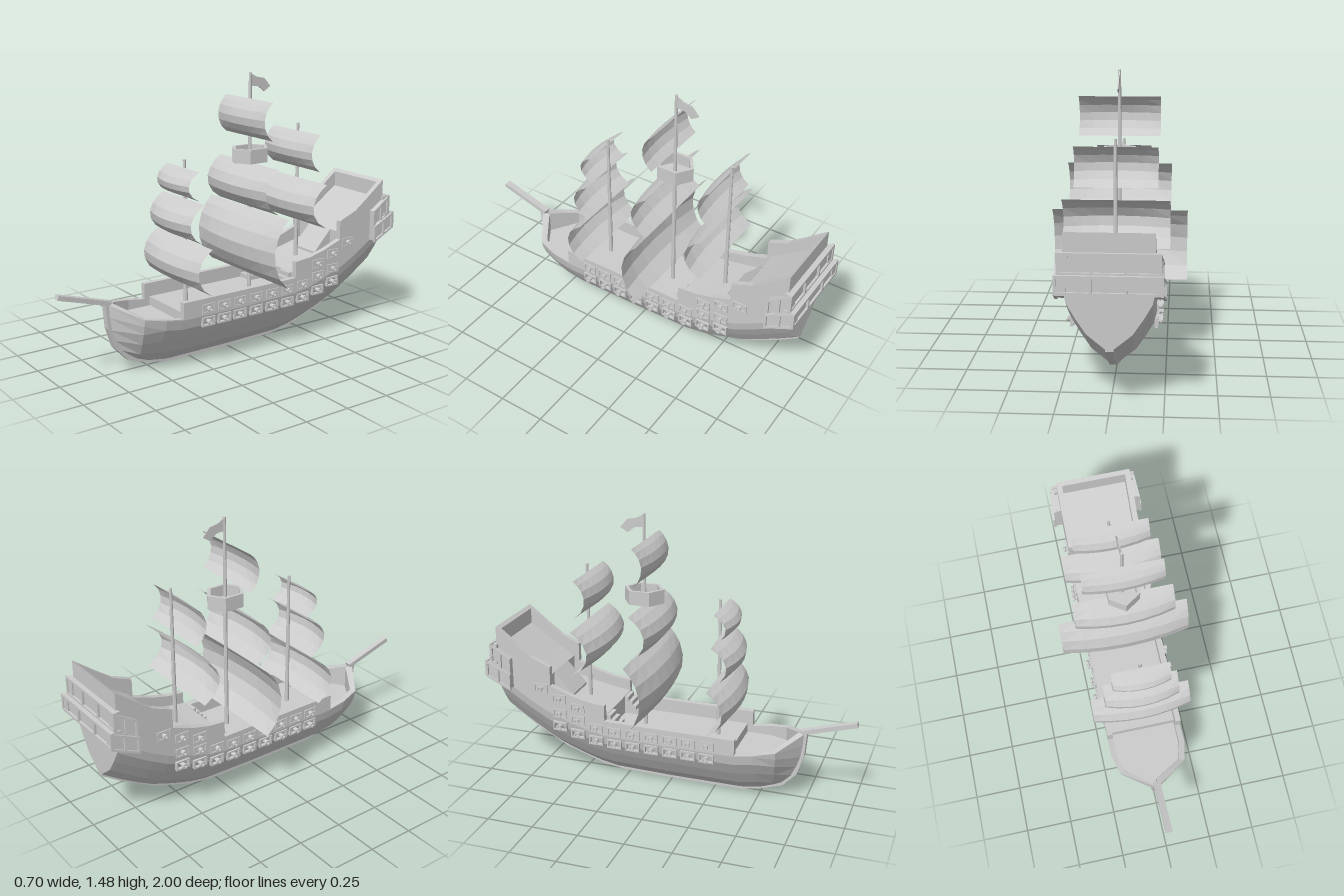
import * as THREE from 'three';

const mat = new THREE.MeshStandardMaterial({ color: 0xcccccc, flatShading: true, side: THREE.DoubleSide });

function add(parent, name, geo, x = 0, y = 0, z = 0) {
  const m = new THREE.Mesh(geo, mat);
  m.name = name;
  m.position.set(x, y, z);
  parent.add(m);
  return m;
}
const box = (w, h, d) => new THREE.BoxGeometry(w, h, d);

function fromTriangles(pos) {
  const g = new THREE.BufferGeometry();
  g.setAttribute('position', new THREE.Float32BufferAttribute(pos, 3));
  g.computeVertexNormals();
  return g;
}

// Shape drawn in (z, y), given a thickness across x and centred on x = 0
function sideExtrude(points, width) {
  const s = new THREE.Shape(points.map(([z, y]) => new THREE.Vector2(-z, y)));
  const g = new THREE.ExtrudeGeometry(s, { depth: width, bevelEnabled: false });
  return g.translate(0, 0, -width / 2).rotateY(Math.PI / 2);
}

// Rectangular frame with a row of openings, facing +z
function frame(w, h, depth, count, border) {
  const rect = (P, x, y, a, b) => new P([[x, y], [x + a, y], [x + a, y + b], [x, y + b]].map(p => new THREE.Vector2(...p)));
  const s = rect(THREE.Shape, -w / 2, -h / 2, w, h);
  const pane = (w - border * (count + 1)) / count;
  for (let i = 0; i < count; i++) {
    s.holes.push(rect(THREE.Path, -w / 2 + border + i * (pane + border), -h / 2 + border, pane, h - 2 * border));
  }
  return new THREE.ExtrudeGeometry(s, { depth, bevelEnabled: false });
}

// Hull, bulwarks and decks: one loft of closed rings; repeated z values make steps
function hullGeometry() {
  const side = [[0.02, 0], [0.105, 0.07], [0.155, 0.145], [0.195, 0.215], [0.207, 0.268]];
  const stations = [ // z, keel, rail, deck
    [-0.94, 0.295, 0.84, 0.84], [-0.92, 0.28, 0.825, 0.825], [-0.92, 0.28, 0.825, 0.74],
    [-0.83, 0.22, 0.755, 0.68], [-0.74, 0.165, 0.69, 0.62], [-0.66, 0.122, 0.658, 0.57],
    [-0.66, 0.122, 0.658, 0.47], [-0.63, 0.11, 0.645, 0.46], [-0.63, 0.11, 0.54, 0.46],
    [-0.52, 0.07, 0.5, 0.435], [-0.42, 0.04, 0.475, 0.415], [-0.32, 0.022, 0.465, 0.4],
    [-0.32, 0.022, 0.375, 0.3], [0, 0.015, 0.375, 0.3], [0.37, 0.015, 0.375, 0.3],
    [0.37, 0.015, 0.375, 0.25], [0.4, 0.016, 0.375, 0.25], [0.4, 0.016, 0.29, 0.25], [0.5, 0.032, 0.305, 0.25],
  ];
  const halves = stations.map(([z, k, rail, deck]) => [
    ...side.map(([x, dy]) => [x, k + dy, z]), [0.207, rail, z], [0.177, rail, z], [0.177, deck, z],
  ]);
  // Shoulder of the bow, then the stem
  halves.push([[0.016, 0.055, 0.57], [0.075, 0.1, 0.58], [0.12, 0.17, 0.595], [0.155, 0.235, 0.605],
    [0.172, 0.285, 0.61], [0.18, 0.322, 0.61], [0.15, 0.322, 0.595], [0.15, 0.25, 0.595]]);
  halves.push([[0.012, 0.075, 0.62], [0.012, 0.125, 0.67], [0.012, 0.18, 0.695], [0.012, 0.24, 0.715],
    [0.012, 0.31, 0.725], [0.012, 0.378, 0.73], [0.002, 0.375, 0.69], [0.002, 0.25, 0.69]]);
  const rings = halves.map(h => [...h, ...h.slice().reverse().map(([x, y, z]) => [-x, y, z])]);
  const pos = [], n = rings[0].length;
  for (let i = 0; i < rings.length - 1; i++) {
    for (let j = 0; j < n; j++) {
      const k = (j + 1) % n;
      const a = rings[i][j], b = rings[i][k], c = rings[i + 1][k], d = rings[i + 1][j];
      pos.push(...a, ...b, ...c, ...a, ...c, ...d);
    }
  }
  const r = rings[0]; // transom
  for (let j = 1; j < n - 1; j++) pos.push(...r[0], ...r[j + 1], ...r[j]);
  return fromTriangles(pos);
}

// Billowed sail: straight along its top and bottom edges, fullest at the centre
function sailGeometry(halfWidth, y0, y1, depth) {
  const profile = [[0, 0], [0.16, 0.62], [0.35, 0.94], [0.55, 1], [0.75, 0.78], [0.9, 0.4], [1, 0]];
  const cols = 6, pos = [];
  const point = (i, j) => {
    const u = -1 + 2 * i / cols, [v, b] = profile[j];
    return [u * halfWidth, y0 + (y1 - y0) * v, depth * b * (1 - 0.3 * u * u)];
  };
  for (let i = 0; i < cols; i++) {
    for (let j = 0; j < profile.length - 1; j++) {
      const a = point(i, j), b = point(i + 1, j), c = point(i + 1, j + 1), d = point(i, j + 1);
      pos.push(...a, ...b, ...c, ...a, ...c, ...d);
    }
  }
  return fromTriangles(pos);
}

export function createModel() {
  const ship = new THREE.Group();
  ship.name = 'sailingShip';
  add(ship, 'hull', hullGeometry());

  // Keel and stem
  const outer = [[-0.94, 0.283], [-0.83, 0.208], [-0.63, 0.098], [-0.42, 0.028], [-0.29, 0.006], [0, 0], [0.4, 0],
    [0.5, 0.022], [0.62, 0.06], [0.695, 0.14], [0.73, 0.25], [0.742, 0.392]];
  const inner = [[0.715, 0.392], [0.7, 0.26], [0.665, 0.16], [0.6, 0.09], [0.5, 0.05], [0.4, 0.03], [0, 0.03],
    [-0.29, 0.034], [-0.42, 0.055], [-0.63, 0.125], [-0.83, 0.235], [-0.94, 0.31]];
  add(ship, 'keel', sideExtrude([...outer, ...inner], 0.04));

  // Bowsprit
  const sprit = add(ship, 'bowsprit', box(0.036, 0.024, 0.3), 0, 0.424, 0.853);
  sprit.rotation.x = -0.29;

  // Stairs to the quarterdeck (pair) and to the poop deck
  for (const s of [-1, 1]) {
    for (let i = 0; i < 4; i++) {
      const h = 0.025 * (i + 1);
      add(ship, 'quarterdeckStep', box(0.085, h, 0.022), s * 0.132, 0.3 + h / 2, -0.241 - i * 0.022);
    }
  }
  add(ship, 'poopStair', sideExtrude([[-0.66, 0.44], [-0.66, 0.572], [-0.55, 0.455], [-0.55, 0.43]], 0.18));

  // Masts, each with its sails: [half width, bottom, top, depth]
  const masts = [
    ['foreMast', 0.255, 0.25, 1.06, [[0.265, 0.4, 0.645, 0.12], [0.195, 0.65, 0.86, 0.12], [0.15, 0.87, 1.02, 0.092]]],
    ['mainMast', -0.16, 0.28, 1.475, [[0.35, 0.385, 0.755, 0.125], [0.265, 0.76, 1.0, 0.12], [0.207, 1.14, 1.34, 0.075]]],
    ['mizzenMast', -0.485, 0.4, 1.18, [[0.265, 0.64, 0.88, 0.13], [0.205, 0.94, 1.14, 0.085]]],
  ];
  for (const [name, z, y0, y1, sails] of masts) {
    add(ship, name, new THREE.CylinderGeometry(0.008, 0.012, y1 - y0, 8), 0, (y0 + y1) / 2, z);
    for (const s of sails) add(ship, 'sail', sailGeometry(...s), 0, 0, z + 0.008);
  }

  // Crow's nest: an open hexagonal tub
  const tub = [[0, 0], [0.11, 0], [0.11, 0.075], [0.09, 0.075], [0.09, 0.015], [0, 0.015]];
  const nest = add(ship, 'crowsNest', new THREE.LatheGeometry(tub.map(p => new THREE.Vector2(...p)), 6), 0, 1.005, -0.16);
  nest.scale.x = 0.86;

  // Pennant
  add(ship, 'flag', sideExtrude([[-0.16, 1.472], [-0.2, 1.45], [-0.25, 1.44], [-0.29, 1.395], [-0.25, 1.37],
    [-0.21, 1.4], [-0.16, 1.405]], 0.006));

  // Gun ports on both sides: z and the heights in each column
  const ports = [0.25, 0.15, 0.05, -0.055, -0.16, -0.265].map(z => [z, 0.25, 0.32]);
  ports.push([-0.37, 0.257, 0.33], [-0.475, 0.28, 0.36, 0.43], [-0.58, 0.31, 0.385, 0.47], [-0.685, 0.52]);
  const portGeo = frame(0.08, 0.05, 0.017, 1, 0.008).rotateY(Math.PI / 2);
  const barrel = [[0, 0], [0.012, 0], [0.011, 0.032], [0.016, 0.036], [0.016, 0.046], [0.007, 0.046], [0.007, 0.03]];
  const cannonGeo = new THREE.LatheGeometry(barrel.map(p => new THREE.Vector2(...p)), 8).rotateZ(-Math.PI / 2);
  for (const s of [0, 1]) {
    const battery = new THREE.Group();
    battery.name = s ? 'rightGuns' : 'leftGuns';
    for (const [z, ...ys] of ports) {
      for (const y of ys) {
        add(battery, 'gunPort', portGeo, 0.196, y, s ? -z : z);
        add(battery, 'cannon', cannonGeo, 0.187, y, s ? -z : z);
      }
    }
    battery.rotation.y = s * Math.PI;
    ship.add(battery);
  }

  // Stern galleries: two rows of windows wrapping round to sloping side windows
  const rows = [ // name, mid height, height, back z, half width, side drop
    ['upperGallery', 0.7, 0.105, -0.97, 0.235, 0.075],
    ['lowerGallery', 0.61, 0.092, -0.997, 0.245, 0.065],
  ];
  for (const [name, y, h, zBack, hw, drop] of rows) {
    const g = new THREE.Group();
    g.name = name;
    const depth = -0.93 - zBack - 0.012;
    add(g, 'backWall', box(hw * 2 - 0.02, h - 0.01, depth), 0, y, -0.93 - depth / 2);
    add(g, 'backWindows', frame(hw * 2, h, 0.016, 3, 0.014), 0, y, zBack);
    const len = -0.845 - zBack;
    // Side frames sheared downwards towards the bow
    const shear = geo => {
      const p = geo.attributes.position;
      for (let i = 0; i < p.count; i++) {
        const t = (p.getZ(i) + len / 2) / len;
        p.setXYZ(i, p.getX(i) + 0.012 * t, p.getY(i) - drop * t, p.getZ(i));
      }
      geo.computeVertexNormals();
      return geo;
    };
    for (const s of [-1, 1]) {
      const side = new THREE.Group();
      side.name = 'sideGallery';
      add(side, 'sideWall', shear(box(0.045, h - 0.01, len - 0.01)), hw - 0.033, y, (zBack - 0.845) / 2);
      add(side, 'sideWindows', shear(frame(len, h, 0.014, 2, 0.012).rotateY(Math.PI / 2)), hw - 0.014, y, (zBack - 0.845) / 2);
      side.scale.x = s;
      g.add(side);
    }
    ship.add(g);
  }
  return ship;
}
